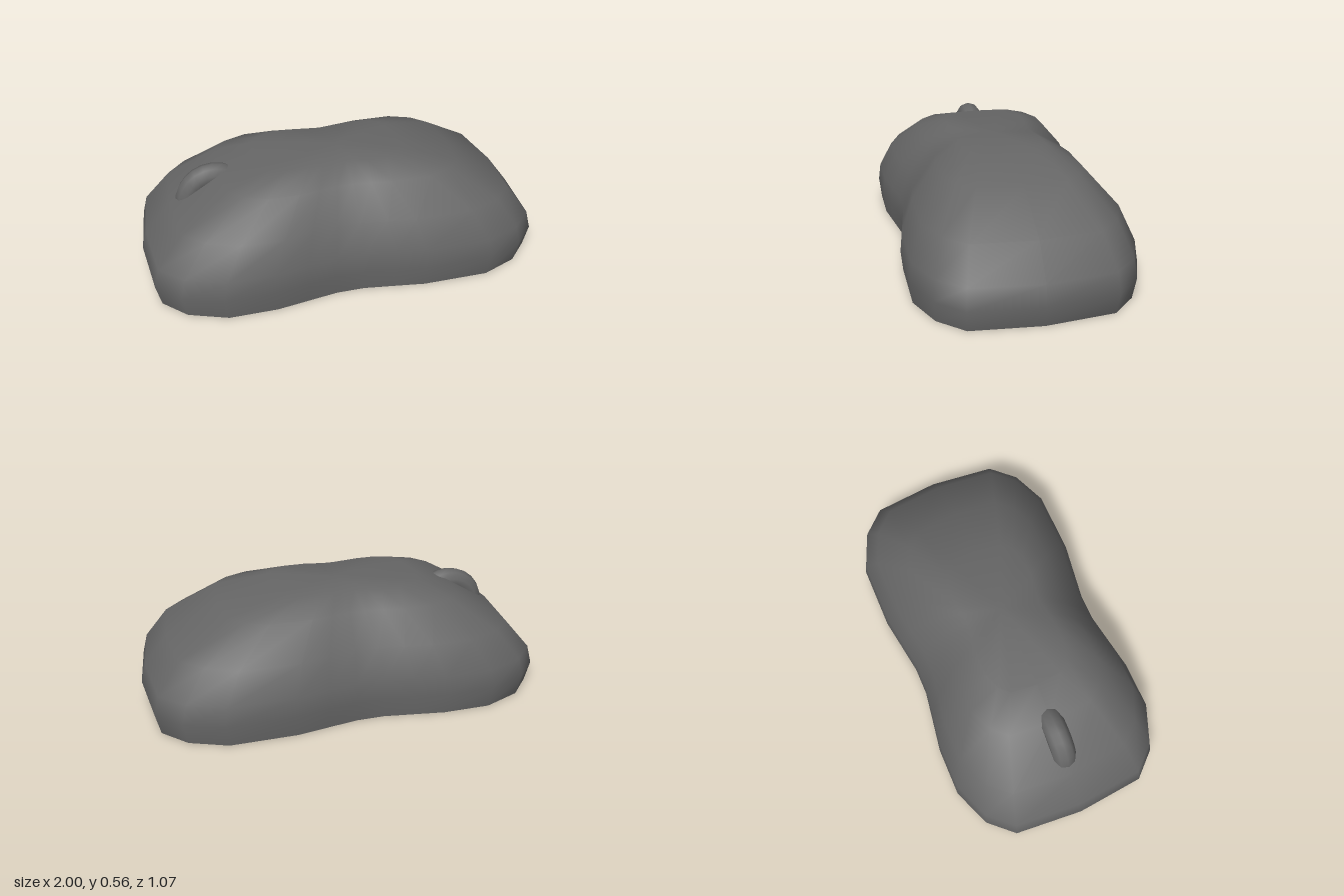
import * as THREE from 'three';

const material = new THREE.MeshStandardMaterial({ color: 0x666666 });

// Half of the waisted plan outline (x, z), from the +x end to the -x end
const halfOutline = [
  [1, 0], [0.965, 0.34], [0.85, 0.46], [0.665, 0.535], [0.33, 0.535], [0.17, 0.51], [0.02, 0.487],
  [-0.12, 0.487], [-0.27, 0.51], [-0.43, 0.535], [-0.67, 0.535], [-0.86, 0.46], [-0.97, 0.34], [-1, 0],
];
const outline = [
  ...halfOutline,
  ...halfOutline.slice(1, -1).reverse().map(([x, z]) => [x, -z]),
];

// Levels of the shell: height, scale of +x half, scale of -x half, scale in z
const levels = [
  [0, 0.975, 0.975, 0.98],
  [0.105, 1, 1, 1],
  [0.2, 0.975, 0.975, 0.98],
  [0.35, 0.86, 0.845, 0.87],
  [0.5, 0.6, 0.6, 0.626],
  [0.563, 0.32, 0.42, 0.383],
];

function ringPoints([y, right, left, depth]) {
  return outline.map(([x, z]) => {
    const px = x * (x > 0 ? right : left);
    // the crown dips slightly toward the wheel end
    const dip = y > 0.55 ? Math.max(0, -px - 0.29) * 0.06 : 0;
    return [px, y - dip, z * depth];
  });
}

function toGeometry(points, index) {
  const geometry = new THREE.BufferGeometry();
  geometry.setAttribute('position', new THREE.Float32BufferAttribute(points.flat(), 3));
  geometry.setIndex(index);
  geometry.computeVertexNormals();
  return geometry;
}

// Smooth shell lofted through the levels and closed by a crown
function shellGeometry() {
  const n = outline.length;
  const points = levels.flatMap(ringPoints);
  const index = [];
  for (let k = 0; k < levels.length - 1; k++) {
    for (let i = 0; i < n; i++) {
      const j = (i + 1) % n;
      const a = k * n + i, b = k * n + j;
      index.push(a, a + n, b, b, a + n, b + n);
    }
  }
  const top = (levels.length - 1) * n;
  const centre = points.push([0, 0.563, 0]) - 1;
  for (let i = 0; i < n; i++) index.push(centre, top + (i + 1) % n, top + i);
  return toGeometry(points, index);
}

// Flat underside
function baseGeometry() {
  const points = ringPoints(levels[0]);
  const n = points.length;
  const index = [];
  points.push([0, 0, 0]);
  for (let i = 0; i < n; i++) index.push(n, i, (i + 1) % n);
  return toGeometry(points, index);
}

function addPart(group, name, geometry) {
  const mesh = new THREE.Mesh(geometry, material);
  mesh.name = name;
  group.add(mesh);
  return mesh;
}

export function createModel() {
  const model = new THREE.Group();
  model.name = 'computerMouse';

  addPart(model, 'shell', shellGeometry());
  addPart(model, 'base', baseGeometry());

  // Rounded wheel, mostly sunk into the sloping end
  const wheel = addPart(model, 'scrollWheel', new THREE.TorusGeometry(0.137, 0.06, 10, 24));
  wheel.position.set(-0.618, 0.34, 0);

  return model;
}
